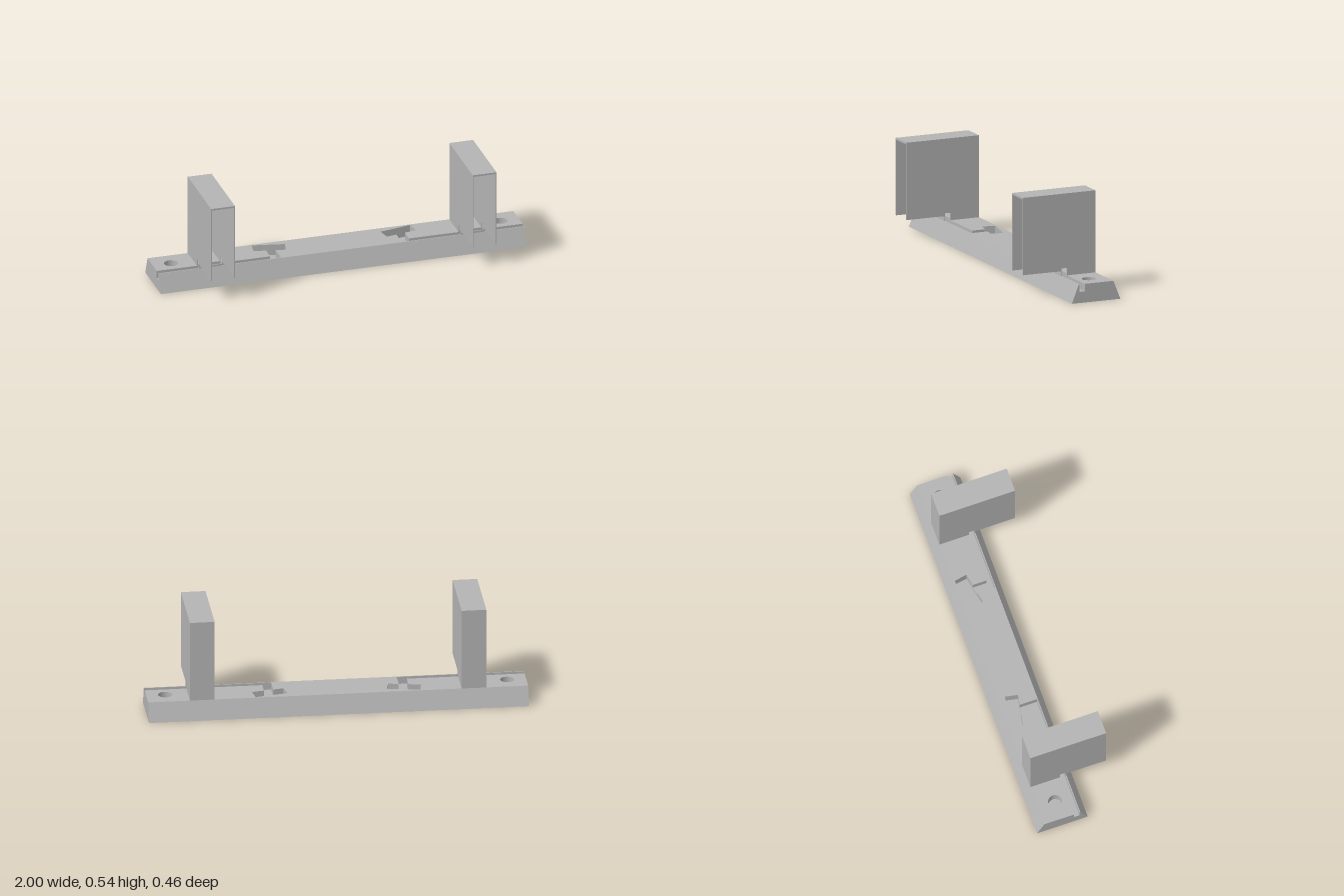
import * as THREE from 'three';

const FRONT = 0.01, BACK = -0.19, TOP = 0.1;      // top edges of the base
const GROOVE_F = 0.005, GROOVE_B = -0.025;        // wire groove limits in z
const POCKET = [[0.275, -0.08], [0.262, -0.148], [0.433, -0.182], [0.445, -0.112]];

export function createModel() {
  const grey = new THREE.MeshStandardMaterial({ color: 0xb4b4b4 });
  grey.name = 'plainGrey';
  const model = new THREE.Group();
  model.name = 'doublePostRail';

  const add = (parent, geometry, name) => {
    const mesh = new THREE.Mesh(geometry, grey);
    mesh.name = name;
    parent.add(mesh);
    return mesh;
  };
  const toPlan = (pts) => pts.map(([x, z]) => new THREE.Vector2(x, -z));
  const flip = (pts) => pts.map(([x, z]) => [-x, z]);

  // Extrudes a plan outline upward, then slopes its long front and back sides
  function slab(name, outline, holes, y0, y1) {
    const shape = new THREE.Shape(toPlan(outline));
    shape.holes.push(...holes);
    const g = new THREE.ExtrudeGeometry(shape, { depth: y1 - y0, bevelEnabled: false, curveSegments: 24 });
    g.rotateX(-Math.PI / 2).translate(0, y0, 0);
    const p = g.attributes.position;
    for (let i = 0; i < p.count; i++) {
      const flare = 0.4 * (TOP - p.getY(i));
      if (Math.abs(p.getZ(i) - FRONT) < 1e-4) p.setZ(i, FRONT + flare);
      else if (Math.abs(p.getZ(i) - BACK) < 1e-4) p.setZ(i, BACK - flare);
    }
    g.computeVertexNormals();
    add(base, g, name);
  }

  const base = new THREE.Group();
  base.name = 'base';
  model.add(base);

  const screwHoles = () => [-0.9, 0.9].map((x) =>
    new THREE.Path().absarc(x, 0.095, 0.037, 0, Math.PI * 2, true));

  // Groove from the end, up the short channel, round the tilted pocket and back
  const recess = [
    [1, GROOVE_F], [0.33, GROOVE_F], [0.33, -0.0904], ...POCKET,
    [0.38, -0.0998], [0.38, GROOVE_B], [1, GROOVE_B],
  ];
  const grooved = [
    [-1, BACK], ...flip(recess).reverse(), [-1, FRONT],
    [1, FRONT], ...recess, [1, BACK],
  ];
  const plain = [[-1, BACK], [-1, FRONT], [1, FRONT], [1, BACK]];
  const pockets = [POCKET, flip(POCKET)].map((p) => new THREE.Path(toPlan(p)));

  slab('baseFoot', plain, [], 0, 0.04);
  slab('pocketLayer', plain, [...screwHoles(), ...pockets], 0.04, 0.06);
  slab('groovedTop', grooved, screwHoles(), 0.06, TOP);

  // Hollow posts, open at the front and below the overhang
  const profile = [
    [0.23, 0.125], [0.23, 0.54], [BACK, 0.54], [BACK, TOP], [GROOVE_B, TOP],
    [GROOVE_B, 0.14], [GROOVE_F, 0.14], [GROOVE_F, TOP], [FRONT, TOP], [FRONT, 0.125],
  ];
  const wallShape = new THREE.Shape(profile.map(([z, y]) => new THREE.Vector2(-z, y)));
  const wall = 0.005, inner = 0.12;

  for (const side of [1, -1]) {
    const post = new THREE.Group();
    post.name = side > 0 ? 'leftPost' : 'rightPost';
    post.position.x = side * 0.715;
    model.add(post);

    for (const x of [-0.065, 0.06]) {
      const g = new THREE.ExtrudeGeometry(wallShape, { depth: wall, bevelEnabled: false });
      g.rotateY(Math.PI / 2).translate(x, 0, 0);
      add(post, g, 'postSideWall');
    }
    const panel = (name, y0, y1, z0, z1) => {
      const g = new THREE.BoxGeometry(inner, y1 - y0, z1 - z0);
      g.translate(0, (y0 + y1) / 2, (z0 + z1) / 2);
      add(post, g, name);
    };
    panel('postBackWall', TOP, 0.54, BACK, -0.18);
    panel('postRoof', 0.53, 0.54, -0.18, 0.23);
    panel('postFloor', TOP, 0.11, -0.18, GROOVE_B);
    panel('postFrontLip', TOP, 0.11, GROOVE_F, FRONT);
  }
  return model;
}
